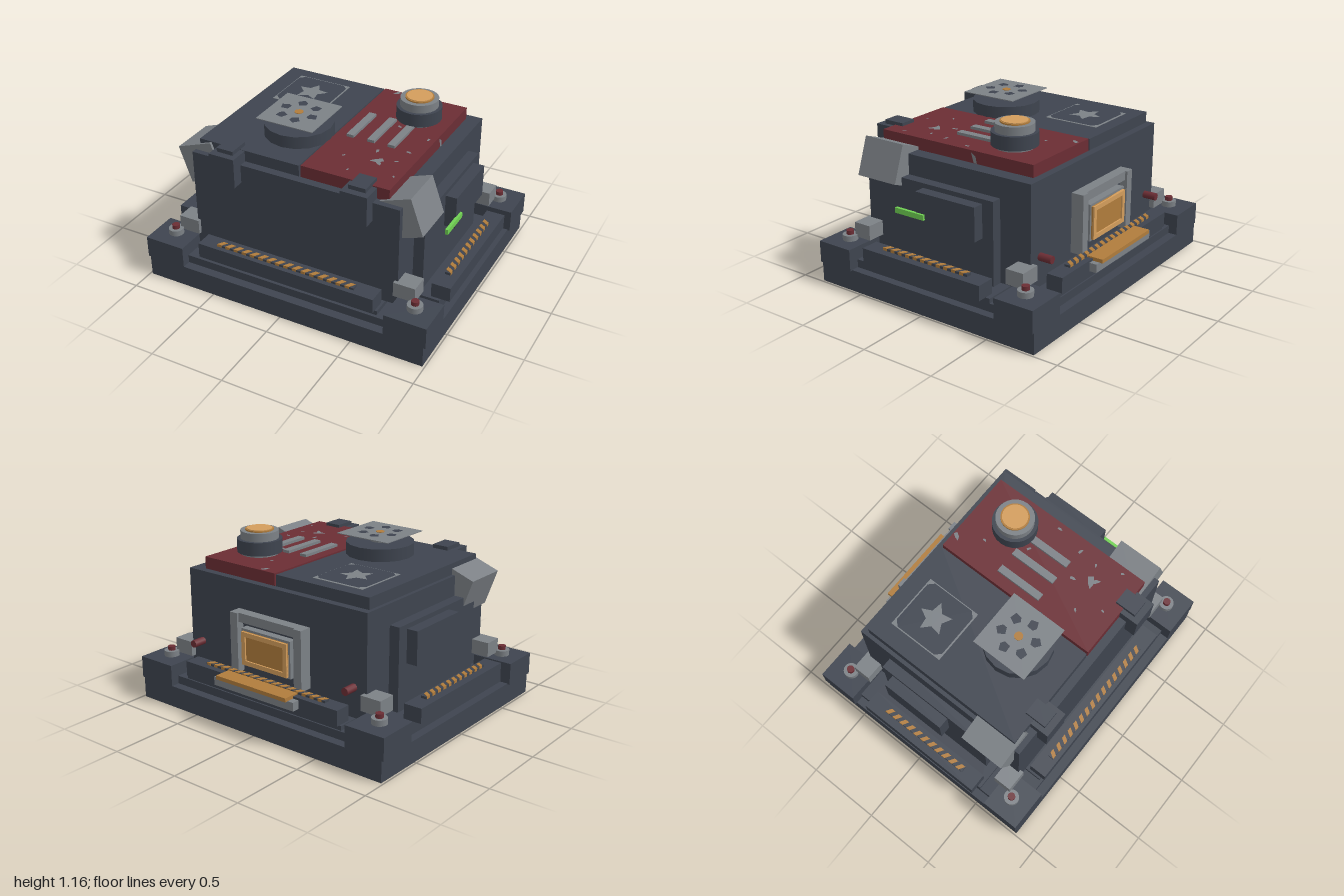
import * as THREE from 'three';

const mat = (name, color) => {
  const m = new THREE.MeshStandardMaterial({ color });
  m.name = name;
  return m;
};

export function createModel() {
  const root = new THREE.Group();
  root.name = 'bunkerHouse';
  const dark = mat('dark slate', 0x3e444f);
  const gray = mat('worn steel', 0x7c8186);
  const red = mat('faded red', 0x6b2d34);
  const amber = mat('amber', 0xb07c3c);
  const lamp = mat('pale amber', 0xd39d5c);
  const green = mat('signal green', 0x6fd052);

  const add = (name, geo, m, parent = root) => {
    const mesh = new THREE.Mesh(geo, m);
    mesh.name = name;
    parent.add(mesh);
    return mesh;
  };
  // box given by its limits on each axis
  const box = (name, m, x0, x1, y0, y1, z0, z1) => {
    const mesh = add(name, new THREE.BoxGeometry(x1 - x0, y1 - y0, z1 - z0), m);
    mesh.position.set((x0 + x1) / 2, (y0 + y1) / 2, (z0 + z1) / 2);
    return mesh;
  };
  const cyl = (name, m, r, x, y0, y1, z, sides = 24) => {
    const mesh = add(name, new THREE.CylinderGeometry(r, r, y1 - y0, sides), m);
    mesh.position.set(x, (y0 + y1) / 2, z);
    return mesh;
  };
  // flat upward-facing patch from [x, z] points around a centre
  const patch = (name, m, pts, x, y, z, turn = 0) => {
    const shape = new THREE.Shape(pts.map(p => new THREE.Vector2(p[0], -p[1])));
    const mesh = add(name, new THREE.ShapeGeometry(shape).rotateX(-Math.PI / 2), m);
    mesh.position.set(x, y, z);
    mesh.rotation.y = turn;
    return mesh;
  };

  // foundation
  box('base', dark, -0.985, 0.985, 0, 0.145, -0.83, 0.84);
  box('basePlate', dark, -0.93, 0.93, 0.145, 0.2, -0.77, 0.78);
  box('longSill', dark, -0.64, 0.64, 0.2, 0.23, -0.76, 0.76);
  box('crossSill', dark, -0.93, 0.93, 0.2, 0.23, -0.475, 0.49);
  box('frontLedge', dark, -0.625, 0.625, 0.23, 0.33, 0.67, 0.79);
  box('backLedge', dark, -0.625, 0.625, 0.23, 0.33, -0.78, -0.67);

  // hazard strips: amber slanted bars over a dark strip
  const hazard = (length, x, z, turn) => {
    const g = new THREE.Group();
    g.name = 'hazardStrip';
    add('stripBase', new THREE.BoxGeometry(length, 0.016, 0.038), dark, g).position.y = 0.008;
    const n = Math.round(length / 0.062), step = length / n, w = step * 0.5;
    for (let i = 0; i < n; i++) {
      const a = -length / 2 + i * step;
      const s = new THREE.Shape([[a, -0.02], [a + w, -0.02], [a + w + 0.025, 0.02], [a + 0.025, 0.02]]
        .map(p => new THREE.Vector2(...p)));
      add('stripBar', new THREE.ExtrudeGeometry(s, { depth: 0.02, bevelEnabled: false }).rotateX(-Math.PI / 2), amber, g);
    }
    g.position.set(x, 0.328, z);
    g.rotation.y = turn;
    root.add(g);
  };
  hazard(0.98, -0.01, 0.74, 0);
  hazard(0.98, -0.01, -0.72, 0);

  // main block
  box('body', dark, -0.72, 0.72, 0.23, 0.91, -0.62, 0.645);
  box('darkRoof', dark, -0.695, 0.018, 0.91, 0.985, -0.57, 0.59);
  box('redRoof', red, 0.03, 0.625, 0.91, 0.99, -0.57, 0.59);

  for (const s of [-1, 1]) {
    // side walls
    const side = (name, m, a, b, ...r) => box(name, m, Math.min(s * a, s * b), Math.max(s * a, s * b), ...r);
    side('sideLedge', dark, 0.865, 0.99, 0.23, 0.328, -0.445, 0.47);
    side('sideWall', dark, 0.7, 0.79, 0.23, 0.775, -0.4, 0.43);
    side('sidePanel', dark, 0.78, 0.865, 0.525, 0.745, -0.32, 0.13);
    hazard(0.66, s * 0.918, 0.015, Math.PI / 2);

    // front brackets
    side('bracket', dark, 0.365, 0.543, 0.785, 0.983, 0.59, 0.72);
    side('bracketCap', dark, 0.398, 0.512, 0.975, 1.01, 0.53, 0.675);

    // tilted steel deflectors, both leaning the same way
    const d = add('deflector', new THREE.BoxGeometry(0.26, 0.252, 0.305), gray);
    d.position.set(s * 0.688, 0.819, 0.455);
    d.rotation.z = 0.345;

    // rear red bolts
    const bolt = cyl('rearBolt', red, 0.025, s * 0.625, 0.385, 0.475, -0.665, 12);
    bolt.rotation.x = Math.PI / 2;
    bolt.position.y = 0.427;

    // corner feet
    for (const f of [-1, 1]) {
      const z0 = f > 0 ? 0.58 : -0.83, z1 = f > 0 ? 0.84 : -0.555;
      side('cornerBlock', dark, 0.72, 1, 0.14, 0.287, z0, z1);
      side('steelBlock', gray, 0.7, 0.845, 0.308, 0.407, f > 0 ? 0.545 : -0.655, f > 0 ? 0.67 : -0.53);
      const z = f > 0 ? 0.7 : -0.685;
      cyl('washer', gray, 0.05, s * 0.862, 0.287, 0.325, z, 16);
      cyl('boltHead', red, 0.025, s * 0.862, 0.325, 0.352, z, 12);
    }
  }
  box('statusLight', green, 0.86, 0.88, 0.575, 0.61, 0.06, 0.285);

  // fan on the dark roof
  const fx = -0.19, fz = 0.22;
  cyl('fanBase', dark, 0.225, fx, 0.98, 1.067, fz, 16);
  cyl('fanPost', gray, 0.062, fx, 1.06, 1.112, fz, 16);
  cyl('fanDisc', gray, 0.165, fx, 1.11, 1.122, fz, 16);
  box('fanPlate', gray, fx - 0.197, fx + 0.203, 1.12, 1.125, fz - 0.195, fz + 0.195);
  for (let i = 0; i < 6; i++) {
    const a = i * Math.PI / 3 + 0.25;
    patch('fanSlot', dark, [[-0.035, -0.02], [0.01, -0.035], [0.035, 0.005], [0, 0.032], [-0.028, 0.024]],
      fx + Math.cos(a) * 0.115, 1.128, fz + Math.sin(a) * 0.115, -a).material = dark;
  }
  cyl('fanHub', amber, 0.028, fx, 1.122, 1.129, fz, 16);

  // star plate with worn steel corners
  const sx = -0.387, sz = -0.288;
  box('starPlate', gray, sx - 0.19, sx + 0.19, 0.98, 0.987, sz - 0.193, sz + 0.193);
  const h = 0.183, c = 0.035;
  patch('starField', dark, [[-h + c, h], [h - c, h], [h, h - c], [h, c - h], [h - c, -h], [c - h, -h], [-h, c - h], [-h, h - c]], sx, 0.99, sz);
  const star = [];
  for (let i = 0; i < 10; i++) {
    const r = i % 2 ? 0.055 : 0.11, a = -Math.PI / 2 - i * Math.PI / 5;
    star.push([r * Math.cos(a), r * Math.sin(a)]);
  }
  patch('star', gray, star, sx, 0.993, sz);

  // beacon and vents on the red roof
  const bx = 0.41, bz = -0.283;
  cyl('beaconFoot', gray, 0.125, bx, 0.985, 1.01, bz);
  cyl('beaconBase', dark, 0.148, bx, 1.005, 1.093, bz);
  cyl('beaconRing', gray, 0.125, bx, 1.09, 1.147, bz);
  cyl('beaconRim', amber, 0.093, bx, 1.14, 1.156, bz);
  cyl('beaconLamp', lamp, 0.083, bx, 1.15, 1.16, bz);
  for (const x of [0.13, 0.275, 0.415]) box('vent', gray, x - 0.025, x + 0.025, 0.985, 1.008, -0.182, 0.142);

  // chipped paint: x, z, size, turn
  const chips = [[0.13, -0.54, 0.03, 0.6], [0.41, 0.32, 0.045, 0.2], [0.43, 0.35, 0.03, 2], [0.22, -0.38, 0.015, 1],
    [0.36, 0.22, 0.022, 1.4], [0.54, 0.15, 0.02, 2.5], [0.2, 0.36, 0.015, 0.4], [0.58, -0.05, 0.018, 1.2],
    [0.3, 0.5, 0.013, 0.9], [0.52, 0.28, 0.015, 0], [0.35, -0.12, 0.018, 2.2], [0.58, 0.45, 0.014, 1.8]];
  for (const [x, z, r, t] of chips)
    patch('paintChip', gray, [[-r, r * 0.4], [0, r * 0.6], [r, 0.1 * r], [r * 0.6, -r * 0.6], [-r * 0.3, -r * 0.2]], x, 0.993, z, t);
  const sideChip = patch('sideChip', gray, [[-0.035, 0.02], [0.03, 0], [0.035, -0.025], [-0.01, -0.015]], 0.628, 0.945, -0.135);
  sideChip.rotation.z = -Math.PI / 2;

  // rear window with steel frame and tray
  for (const s of [-1, 1]) {
    box('windowPost', gray, s * 0.26 - 0.03, s * 0.26 + 0.03, 0.33, 0.725, -0.705, -0.61);
  }
  box('windowLintel', gray, -0.235, 0.235, 0.665, 0.725, -0.69, -0.61);
  box('windowBack', dark, -0.235, 0.235, 0.33, 0.67, -0.65, -0.61);
  box('windowBody', gray, -0.2, 0.2, 0.39, 0.635, -0.7, -0.64);
  box('windowPane', amber, -0.185, 0.185, 0.4, 0.62, -0.71, -0.69);
  for (const s of [-1, 1]) {
    box('windowRimSide', lamp, s * 0.17 - 0.015, s * 0.17 + 0.015, 0.4, 0.62, -0.72, -0.7);
    box('windowRimBar', lamp, -0.155, 0.155, 0.51 + s * 0.095 - 0.015, 0.51 + s * 0.095 + 0.015, -0.72, -0.7);
  }
  box('trayShelf', gray, -0.33, 0.325, 0.26, 0.316, -0.83, -0.76);
  box('tray', amber, -0.287, 0.287, 0.314, 0.34, -0.85, -0.735);

  return root;
}
